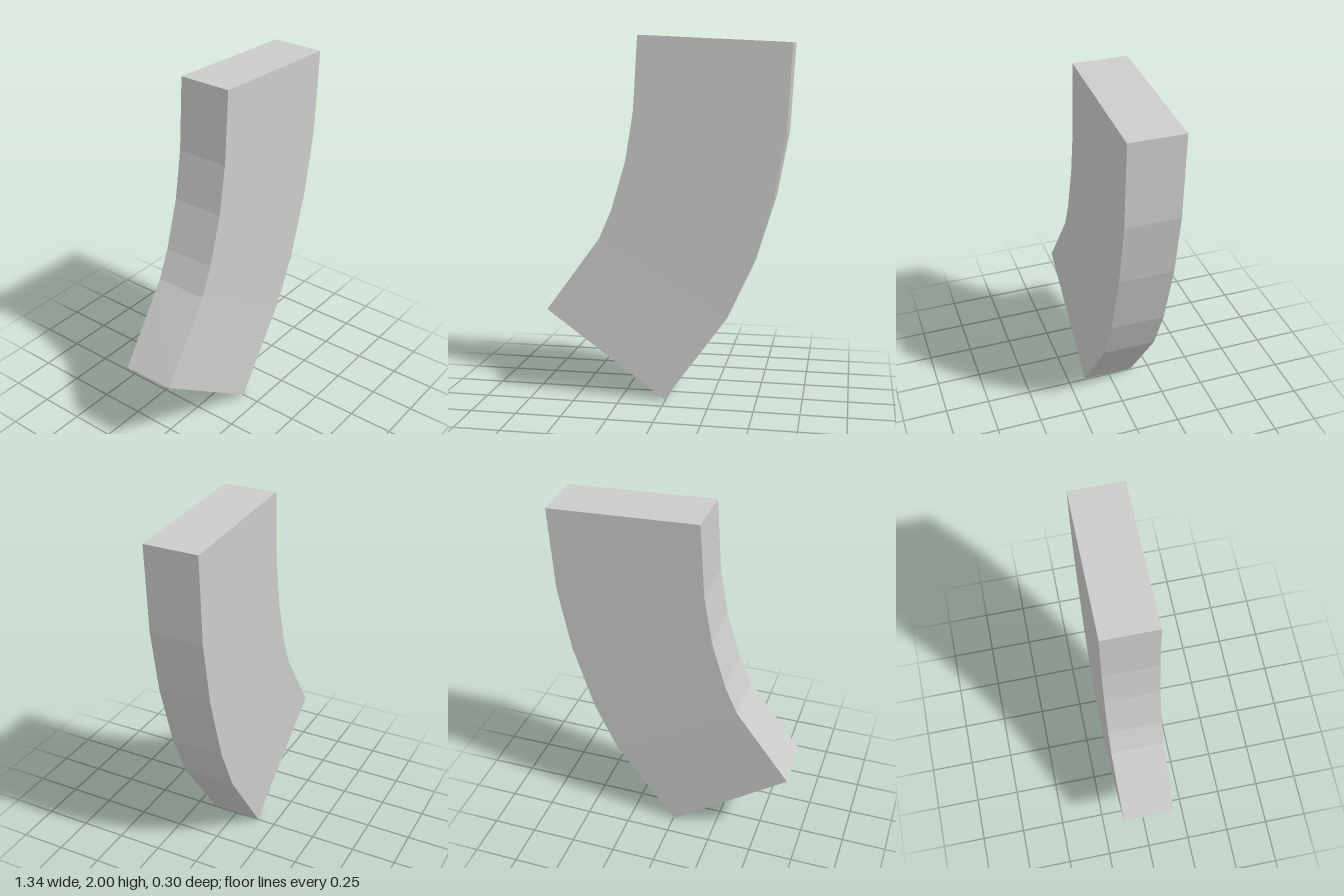
import * as THREE from 'three';

// Stations from the top end to the bottom end: inner edge x, y and outer edge x, y
const stations = [
  [-0.15, 2.0, 0.67, 1.96],
  [-0.175, 1.6, 0.645, 1.49],
  [-0.22, 1.33, 0.58, 1.13],
  [-0.3, 1.06, 0.465, 0.75],
  [-0.37, 0.9, 0.34, 0.48],
  [-0.67, 0.49, -0.005, 0.005],
];
const FRONT = 0.143, BACK = -0.152;
const LEAN = 0.0095; // the last block leans slightly forward

// Four corners of a station: front inner, front outer, back outer, back inner
function section([ix, iy, ox, oy], i) {
  const last = i === stations.length - 1;
  const dz = last ? LEAN : 0;
  const drop = last ? 0.005 : 0; // the lean also tips the end face
  return [
    [ix, iy, FRONT + dz],
    [ox, oy, FRONT + dz],
    [ox, oy - drop, BACK + dz],
    [ix, iy - drop, BACK + dz],
  ];
}

function loft(sections) {
  const positions = [];
  const quad = (a, b, c, d) => positions.push(...a, ...b, ...c, ...a, ...c, ...d);
  for (let i = 0; i < sections.length - 1; i++) {
    const upper = sections[i], lower = sections[i + 1];
    for (let k = 0; k < 4; k++) {
      const n = (k + 1) % 4;
      quad(upper[k], lower[k], lower[n], upper[n]);
    }
  }
  // End caps
  quad(...sections[0]);
  quad(...[...sections[sections.length - 1]].reverse());
  const geometry = new THREE.BufferGeometry();
  geometry.setAttribute('position', new THREE.Float32BufferAttribute(positions, 3));
  geometry.computeVertexNormals();
  return geometry;
}

export function createModel() {
  const group = new THREE.Group();
  group.name = 'curvedSlab';
  // Faceted curved body with a straight lower block
  const body = new THREE.Mesh(
    loft(stations.map(section)),
    new THREE.MeshStandardMaterial({ color: 0xcccccc, flatShading: true })
  );
  body.name = 'curvedBody';
  group.add(body);
  return group;
}
